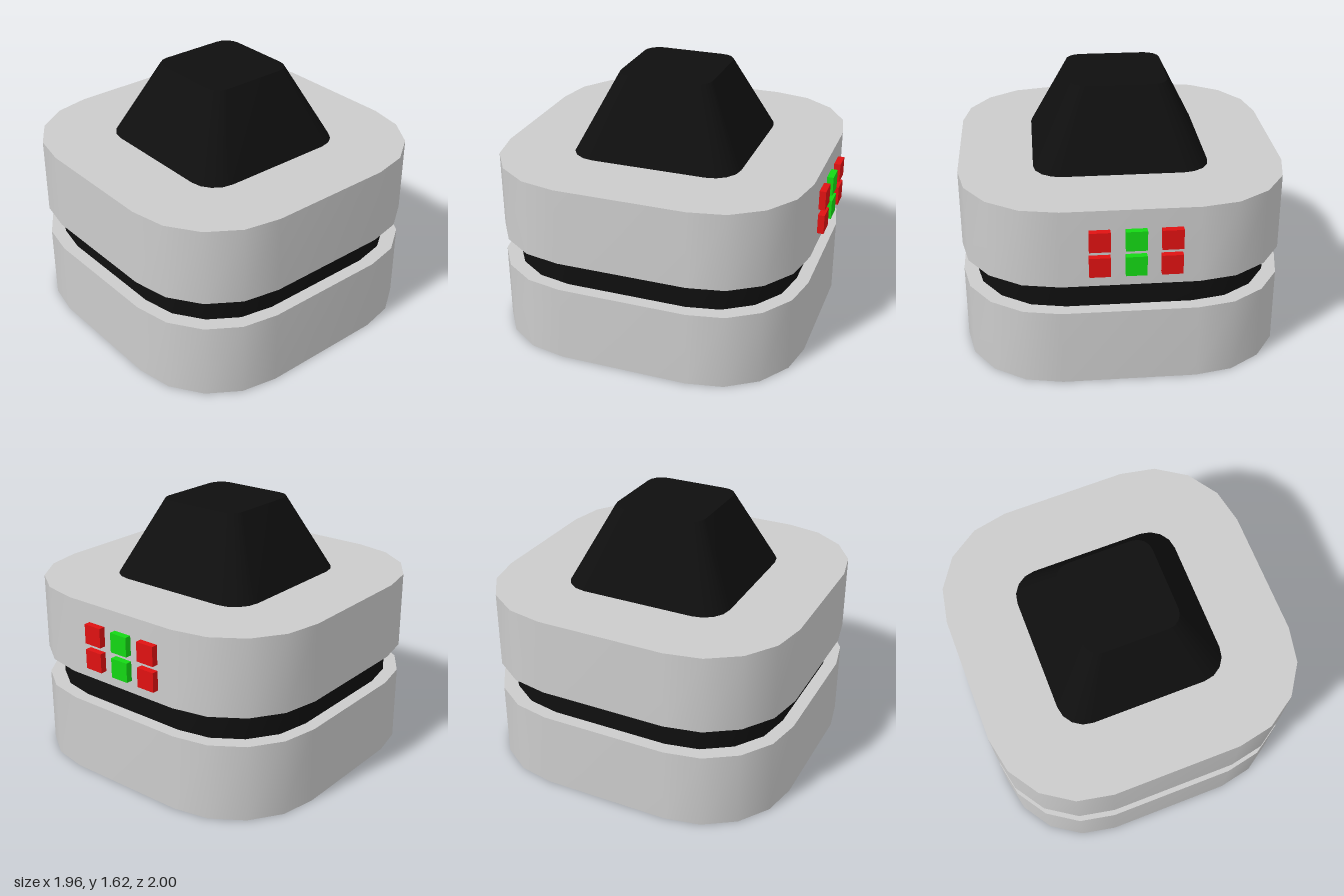
import * as THREE from 'three';

const CENTER_Z = 0.02;
const CORNER_STEPS = 4;

// Outline of a rounded square, running from +x towards +z
function roundedSquare(half, radius) {
  const points = [];
  for (let corner = 0; corner < 4; corner++) {
    const mid = (corner + 0.5) * Math.PI / 2;
    const cx = Math.sign(Math.cos(mid)) * (half - radius);
    const cz = Math.sign(Math.sin(mid)) * (half - radius);
    for (let i = 0; i <= CORNER_STEPS; i++) {
      const a = (corner + i / CORNER_STEPS) * Math.PI / 2;
      points.push([cx + Math.cos(a) * radius, cz + Math.sin(a) * radius]);
    }
  }
  return points;
}

// Solid between two rounded squares: smooth sides, sharp flat caps
function roundedBlock(name, material, bottom, top) {
  const low = roundedSquare(bottom.half, bottom.radius);
  const high = roundedSquare(top.half, top.radius);
  const n = low.length;
  const positions = [];
  const index = [];
  const addRing = (ring, y) => ring.forEach(([x, z]) => positions.push(x, y, z));
  // rings 0 and 1 carry the sides, rings 2 and 3 the caps
  for (let copy = 0; copy < 2; copy++) {
    addRing(low, bottom.y);
    addRing(high, top.y);
  }
  for (let i = 0; i < n; i++) {
    const j = (i + 1) % n;
    index.push(i, n + i, j, j, n + i, n + j);
  }
  for (let i = 1; i < n - 1; i++) {
    index.push(2 * n, 2 * n + i, 2 * n + i + 1);
    index.push(3 * n, 3 * n + i + 1, 3 * n + i);
  }
  const geometry = new THREE.BufferGeometry();
  geometry.setAttribute('position', new THREE.Float32BufferAttribute(positions, 3));
  geometry.setIndex(index);
  geometry.computeVertexNormals();
  const mesh = new THREE.Mesh(geometry, material);
  mesh.name = name;
  mesh.position.z = CENTER_Z;
  return mesh;
}

export function createModel() {
  const model = new THREE.Group();
  model.name = 'model';
  const grey = new THREE.MeshStandardMaterial({ color: 0xcccccc });
  const black = new THREE.MeshStandardMaterial({ color: 0x0f0f0f });
  const red = new THREE.MeshStandardMaterial({ color: 0xe01212 });
  const green = new THREE.MeshStandardMaterial({ color: 0x14d814 });

  // Two body slabs with a recessed band between them
  const slab = { half: 0.98, radius: 0.58 };
  const band = { half: 0.9, radius: 0.53 };
  model.add(
    roundedBlock('lowerBody', grey, { ...slab, y: 0 }, { ...slab, y: 0.48 }),
    roundedBlock('recessedBand', black, { ...band, y: 0.48 }, { ...band, y: 0.66 }),
    roundedBlock('upperBody', grey, { ...slab, y: 0.66 }, { ...slab, y: 1.14 }),
  );

  // Tapered cap on top
  model.add(roundedBlock('taperedCap', black,
    { half: 0.53, radius: 0.17, y: 1.14 }, { half: 0.295, radius: 0.095, y: 1.615 }));

  // Two rows of three buttons on the back
  const buttons = new THREE.Group();
  buttons.name = 'backButtons';
  const buttonGeometry = new THREE.BoxGeometry(0.122, 0.122, 0.05);
  const columns = [[-0.235, red], [-0.03, green], [0.178, red]];
  for (const y of [0.8, 0.96]) {
    for (const [x, material] of columns) {
      const button = new THREE.Mesh(buttonGeometry, material);
      button.name = material === red ? 'redButton' : 'greenButton';
      button.position.set(x, y, -0.975);
      buttons.add(button);
    }
  }
  model.add(buttons);
  return model;
}
